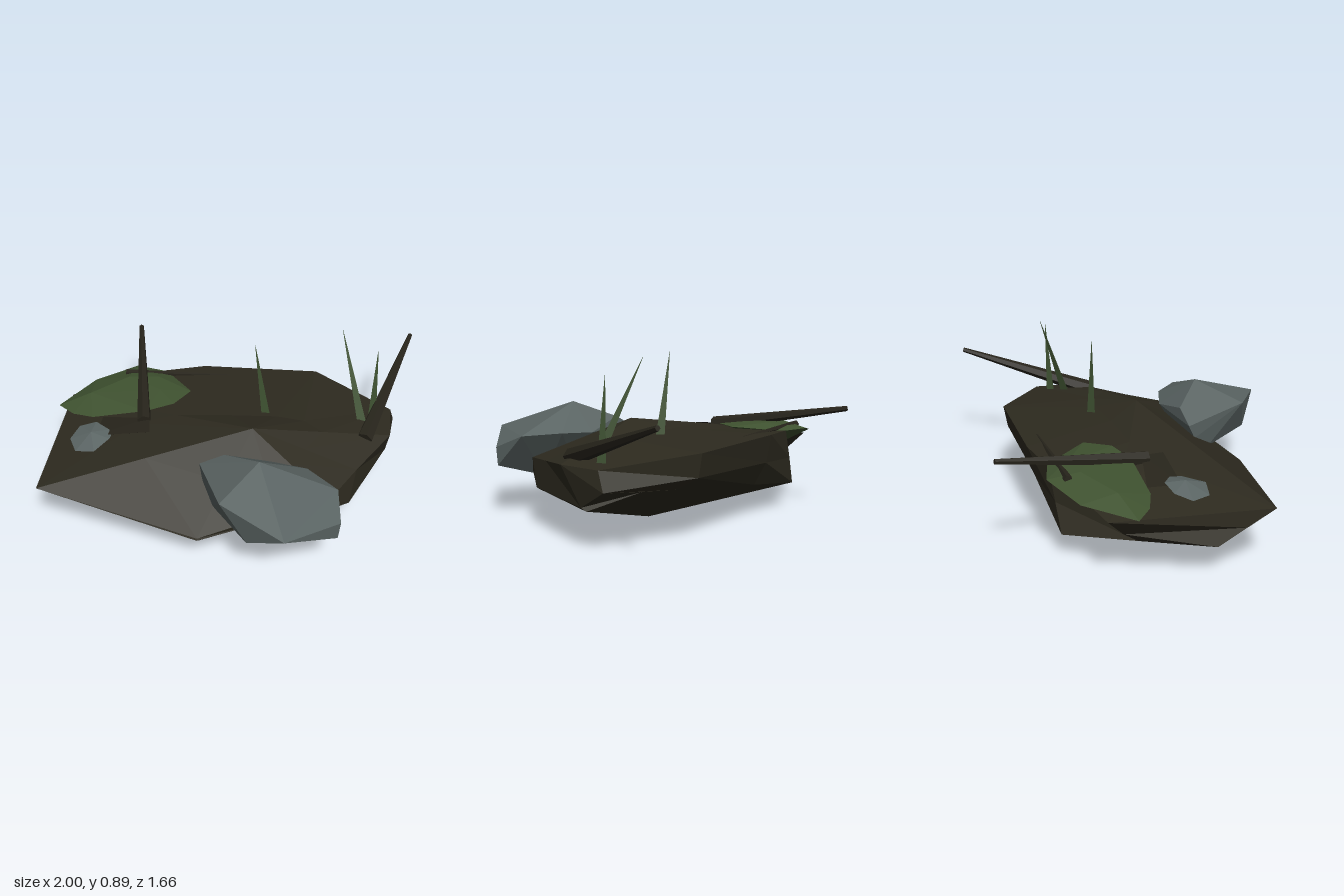
import * as THREE from 'three';
import { ConvexGeometry } from 'three/addons/geometries/ConvexGeometry.js';

const V = (p) => new THREE.Vector3(...p);

function material(name, color) {
  const m = new THREE.MeshStandardMaterial({ color });
  m.name = name;
  m.flatShading = true;
  return m;
}

// Closed faceted solid: rings from top to bottom, capped by a fan at each end
function loft(top, rings, bottom) {
  const pos = [];
  const tri = (...pts) => pts.forEach((p) => pos.push(...p));
  const n = rings[0].length;
  for (let i = 0; i < n; i++) {
    const j = (i + 1) % n;
    tri(top, rings[0][i], rings[0][j]);
    for (let r = 0; r < rings.length - 1; r++) {
      const a = rings[r], b = rings[r + 1];
      tri(a[i], b[i], b[j]);
      tri(a[i], b[j], a[j]);
    }
    const last = rings[rings.length - 1];
    tri(bottom, last[j], last[i]);
  }
  const g = new THREE.BufferGeometry();
  g.setAttribute('position', new THREE.Float32BufferAttribute(pos, 3));
  g.computeVertexNormals();
  return g;
}

// Tapered low-poly stick between two points
function stick(base, tip, r0, r1, sides) {
  const a = V(base), d = V(tip).sub(a);
  const g = new THREE.CylinderGeometry(r1, r0, d.length(), sides, 1, false, Math.PI);
  g.translate(0, d.length() / 2, 0);
  g.applyQuaternion(new THREE.Quaternion().setFromUnitVectors(new THREE.Vector3(0, 1, 0), d.normalize()));
  g.translate(a.x, a.y, a.z);
  return g;
}

export function createModel() {
  const model = new THREE.Group();
  model.name = 'groundPatch';
  const soil = material('soil', 0x2d2a1f);
  const wood = material('bark', 0x27241b);
  const stone = material('stone', 0x5a6463);
  const moss = material('moss', 0x3f5230);
  const grass = material('grass', 0x3f5232);

  const add = (name, geometry, mat) => {
    const mesh = new THREE.Mesh(geometry, mat);
    mesh.name = name;
    model.add(mesh);
  };

  // Slab of earth: plateau behind the peak, upper rim, lip, and undercut base
  const peak = [0.13, 0.52, 0.06];
  const upper = [
    [-0.97, 0.33, 0.43], [-0.11, 0.2, 0.59], [0.3, 0.28, 0.44], [0.55, 0.33, 0.38],
    [0.69, 0.355, 0.15], [0.87, 0.39, -0.12], [0.88, 0.39, -0.36], [0.45, 0.44, -0.63],
    [-0.2, 0.45, -0.61], [-0.45, 0.44, -0.55], [-0.95, 0.355, -0.38],
  ];
  const plateau = {
    5: [0.5, 0.455, -0.03], 6: [0.4, 0.455, -0.12], 7: [0.25, 0.46, -0.14],
    8: [0, 0.465, -0.12], 9: [-0.3, 0.46, -0.1], 10: [-0.5, 0.43, -0.05],
  };
  const inner = upper.map((p, i) => plateau[i] ?? p.map((v, k) => (v + peak[k]) / 2));
  const lip = [
    [-0.972, 0.25, 0.285], [-0.11, 0.19, 0.595], [0.3, 0.23, 0.43], [0.55, 0.265, 0.38],
    [0.66, 0.205, 0.245], [0.865, 0.2, -0.24], [0.905, 0.295, -0.41], [0.45, 0.32, -0.61],
    [-0.2, 0.3, -0.58], [-0.52, 0.28, -0.535], [-0.88, 0.25, -0.29],
  ];
  const under = [
    [-0.975, 0.17, 0.14], [-0.1, 0.18, 0.58], [0.29, 0.21, 0.41], [0.53, 0.25, 0.36],
    [0.65, 0.195, 0.235], [0.86, 0.185, -0.27], [0.71, 0.28, -0.48], [0.45, 0.25, -0.488],
    [-0.2, 0.174, -0.508], [-0.58, 0.13, -0.52], [-0.78, 0.15, -0.19],
  ];
  add('earth', loft(peak, [inner, upper, lip, under], [0.13, 0, -0.06]), soil);

  // Large boulder overhanging the front edge
  add('boulder', new ConvexGeometry([
    [0.19, 0.59, 0.42], [0.34, 0.44, 0.83], [0.01, 0.49, 0.64], [-0.13, 0.44, 0.28],
    [0, 0.5, 0.27], [0.25, 0.44, 0.23], [0.43, 0.45, 0.28], [0.59, 0.44, 0.42],
    [0.61, 0.37, 0.59], [0.6, 0.27, 0.59], [0.15, 0.3, 0.7], [-0.11, 0.36, 0.32],
    [-0.05, 0.28, 0.42], [0.17, 0.16, 0.4], [0.38, 0.2, 0.46],
  ].map(V)), stone);

  // Small stone on the left
  add('smallStone', new ConvexGeometry([
    [-0.87, 0.37, 0.05], [-0.83, 0.4, -0.03], [-0.74, 0.42, -0.05], [-0.66, 0.41, 0],
    [-0.63, 0.395, 0.07], [-0.71, 0.38, 0.18], [-0.82, 0.365, 0.15], [-0.75, 0.425, 0.05],
    [-0.75, 0.33, 0.06],
  ].map(V)), stone);

  // Low moss cushion
  add('mossCushion', new ConvexGeometry([
    [-1, 0.37, -0.25], [-0.83, 0.4, -0.48], [-0.6, 0.44, -0.59], [-0.42, 0.44, -0.55],
    [-0.25, 0.463, -0.33], [-0.33, 0.463, -0.2], [-0.48, 0.445, -0.14], [-0.78, 0.39, -0.13],
    [-0.9, 0.375, -0.17], [-0.82, 0.435, -0.3], [-0.62, 0.47, -0.43], [-0.45, 0.475, -0.44],
    [-0.42, 0.475, -0.31], [-0.6, 0.32, -0.38],
  ].map(V)), moss);

  // Leaning branches and half-buried roots
  add('leftBranch', stick([-0.475, 0.435, -0.06], [-0.61, 0.565, -0.83], 0.04, 0.014, 6), wood);
  add('rightBranch', stick([0.73, 0.4, -0.06], [0.985, 0.63, -0.78], 0.045, 0.013, 6), wood);
  add('root', stick([-0.65, 0.45, -0.495], [-0.05, 0.447, -0.53], 0.022, 0.006, 5), wood);
  add('flatRoot', new ConvexGeometry([
    [-0.72, 0.395, -0.13], [-0.73, 0.395, 0.04], [-0.43, 0.44, 0.04], [-0.45, 0.445, -0.08],
    [-0.6, 0.36, -0.03],
  ].map(V)), wood);

  // Grass spikes: base, tip
  [
    [[0.19, 0.42, -0.18], [0.12, 0.88, -0.19]],
    [[0.72, 0.39, -0.21], [0.58, 0.885, -0.38]],
    [[0.775, 0.36, -0.29], [0.775, 0.81, -0.315]],
  ].forEach(([base, tip], i) => add(`grassBlade${i + 1}`, stick(base, tip, 0.028, 0.001, 3), grass));

  return model;
}
